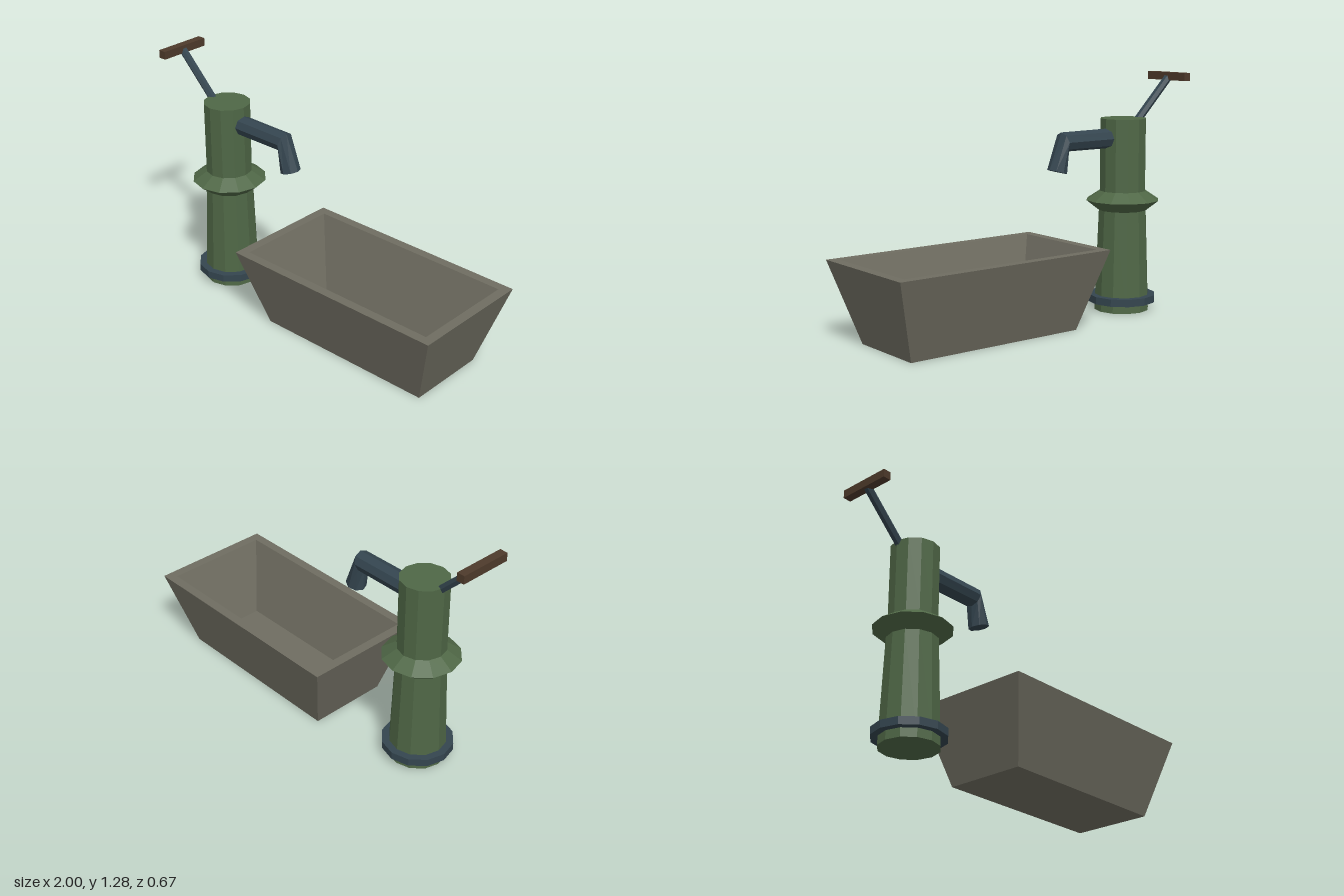
import * as THREE from 'three';

const paint = (name, color) => {
  const m = new THREE.MeshStandardMaterial({ color, flatShading: true });
  m.name = name;
  return m;
};

// Skin a list of equal-length point loops and close both ends
function loft(rings) {
  const n = rings[0].length, last = (rings.length - 1) * n, index = [];
  for (let i = 0; i < rings.length - 1; i++) {
    for (let j = 0; j < n; j++) {
      const k = (j + 1) % n;
      const a = i * n + j, b = i * n + k, c = b + n, d = a + n;
      index.push(a, b, c, a, c, d);
    }
  }
  for (let j = 1; j < n - 1; j++) {
    index.push(0, j + 1, j, last, last + j, last + j + 1);
  }
  const g = new THREE.BufferGeometry();
  g.setAttribute('position', new THREE.Float32BufferAttribute(rings.flat(2), 3));
  g.setIndex(index);
  const flat = g.toNonIndexed();
  flat.computeVertexNormals();
  return flat;
}

// Rectangular loop at height y
const rect = (w, d, y) => [[-w, y, d], [w, y, d], [w, y, -d], [-w, y, -d]];

// Eight-sided pipe loop whose axis is tilted by an angle in the xy plane
function pipeRing(x, y, degrees, r = 0.053) {
  const t = THREE.MathUtils.degToRad(degrees);
  return Array.from({ length: 8 }, (_, j) => {
    const a = (j * Math.PI) / 4;
    const n = r * Math.cos(a);
    return [x - Math.sin(t) * n, y + Math.cos(t) * n, r * Math.sin(a)];
  });
}

export function createModel() {
  const model = new THREE.Group();
  model.name = 'waterPumpAndTrough';
  const green = paint('greenPaint', 0x4f6746);
  const iron = paint('darkIron', 0x34454f);
  const wood = paint('brownWood', 0x4e3a2b);
  const stone = paint('greyStone', 0x6f6d61);

  const add = (name, geometry, material, x = 0, y = 0, z = 0) => {
    const mesh = new THREE.Mesh(geometry, material);
    mesh.name = name;
    mesh.position.set(x, y, z);
    model.add(mesh);
    return mesh;
  };
  const pumpX = -0.643;

  // Pump column with its pointed collar
  const profile = [[0, 0], [0.15, 0], [0.13, 0.55], [0.2, 0.605], [0.125, 0.655], [0.125, 1.047], [0, 1.047]]
    .map(([r, y]) => new THREE.Vector2(r, y));
  add('pumpBody', new THREE.LatheGeometry(profile, 12), green, pumpX);

  // Iron band around the foot
  add('baseRing', new THREE.CylinderGeometry(0.185, 0.185, 0.04, 12), iron, pumpX, 0.066);

  // Bent spout
  add('spout', loft([
    pipeRing(-0.56, 0.944, 0),
    pipeRing(-0.224, 0.944, -15),
    pipeRing(-0.183, 0.791, -75),
  ]), iron);

  // Slanted lever and its wooden grip
  const low = new THREE.Vector2(-0.72, 1.003), high = new THREE.Vector2(-0.976, 1.257);
  const lever = add('handleRod', new THREE.CylinderGeometry(0.022, 0.022, low.distanceTo(high), 6), iron,
    (low.x + high.x) / 2, (low.y + high.y) / 2);
  lever.rotation.z = Math.atan2(low.x - high.x, high.y - low.y);
  add('handleGrip', new THREE.BoxGeometry(0.043, 0.043, 0.284), wood, -0.9785, 1.261);

  // Hollow trough with sloping walls
  add('trough', loft([
    rect(0.503, 0.218, 0),
    rect(0.63, 0.335, 0.42),
    rect(0.579, 0.286, 0.42),
    rect(0.452, 0.168, 0.04),
  ]), stone, 0.37);

  return model;
}
